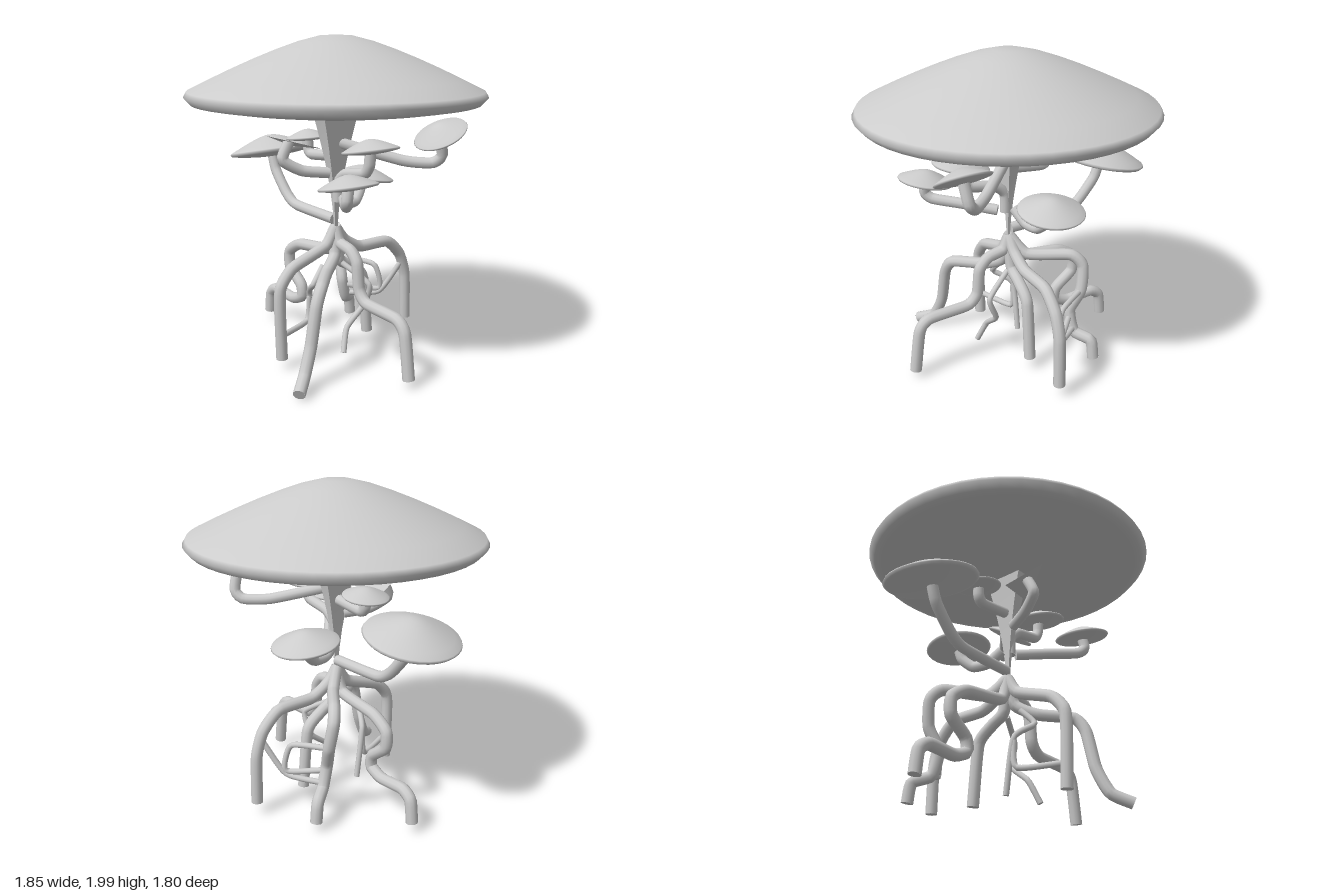
import * as THREE from 'three';

const grey = new THREE.MeshStandardMaterial({ color: 0xcccccc, side: THREE.DoubleSide });
const UP = new THREE.Vector3(0, 1, 0);
const FORWARD = new THREE.Vector3(0, 0, 1);

function add(group, name, geometry) {
  const mesh = new THREE.Mesh(geometry, grey);
  mesh.name = name;
  group.add(mesh);
  return mesh;
}

// Bent tube through a few points, with closed ends
function tube(group, name, points, radius) {
  const path = points.map((p) => new THREE.Vector3(...p));
  const curve = new THREE.CatmullRomCurve3(path, false, 'catmullrom', 0.3);
  const part = new THREE.Group();
  part.name = name;
  add(part, name + 'Tube', new THREE.TubeGeometry(curve, points.length * 6, radius, 10));
  for (const t of [0, 1]) {
    const end = add(part, name + 'End', new THREE.CircleGeometry(radius, 10));
    end.position.copy(curve.getPointAt(t));
    end.quaternion.setFromUnitVectors(FORWARD, curve.getTangentAt(t).multiplyScalar(t ? 1 : -1));
  }
  group.add(part);
}

// Cap of rim radius 1: bulging underside, rounded rim, gently sagging top, small flat peak
function capProfile() {
  const profile = [];
  for (let i = 0; i <= 5; i++) {
    const r = 0.96 * Math.sin((i / 5) * Math.PI / 2);
    profile.push(new THREE.Vector2(r, -0.13 + 0.098 * r * r));
  }
  profile.push(new THREE.Vector2(1, 0.005));
  for (let i = 6; i >= 0; i--) {
    const t = i / 6;
    profile.push(new THREE.Vector2(0.1 + 0.88 * t, 0.394 - 0.354 * t ** 1.25));
  }
  profile.push(new THREE.Vector2(0, 0.394));
  return profile;
}

function cap(group, name, radius, centre, leanX, leanZ, segments) {
  const mesh = add(group, name, new THREE.LatheGeometry(capProfile(), segments));
  mesh.scale.setScalar(radius);
  mesh.position.set(...centre);
  mesh.quaternion.setFromUnitVectors(UP, new THREE.Vector3(leanX, 1, leanZ).normalize());
}

// Small cap on a stem that bends its way up into the cap's centre
function sideMushroom(group, radius, centre, leanX, leanZ, stem) {
  const mushroom = new THREE.Group();
  mushroom.name = 'sideMushroom';
  cap(mushroom, 'sideCap', radius, centre, leanX, leanZ, 32);
  tube(mushroom, 'sideStem', [...stem, centre], 0.034);
  group.add(mushroom);
}

// Every thick root leaves the crown below the trunk
const root = (group, points) => tube(group, 'root', [[0.02, 0.83, 0], ...points], 0.037);
const sidewaysRoot = (group, points) => root(group, points.map(([x, y]) => [x, y, 0]));
const lengthwiseRoot = (group, points) => root(group, points.map(([z, y]) => [0.02, y, z]));
const rootlet = (group, points) => tube(group, 'rootlet', points, 0.018);

export function createModel() {
  const model = new THREE.Group();
  model.name = 'mushroomTree';

  cap(model, 'mainCap', 0.9, [0.025, 1.645, 0], 0, 0, 48);

  // Flattened trunk, tapering downward to a point
  const trunk = new THREE.BoxGeometry(1, 0.75, 1, 1, 6, 1);
  const pos = trunk.attributes.position;
  for (let i = 0; i < pos.count; i++) {
    const t = Math.max(0, pos.getY(i) / 0.75 + 0.5);
    pos.setXYZ(i, pos.getX(i) * (0.012 + 0.1 * t ** 1.4) + 0.025,
      0.83 + t * 0.75, pos.getZ(i) * (0.02 + 0.27 * t ** 1.6));
  }
  trunk.computeVertexNormals();
  add(model, 'trunk', trunk);

  // Side mushrooms: right-hand large one, back one, two upper ones, front one, tilted back one
  sideMushroom(model, 0.28, [-0.655, 1.225, 0], -0.21, 0,
    [[0.01, 0.88, 0], [-0.38, 0.9, 0], [-0.49, 0.96, 0], [-0.61, 1.1, 0]]);
  sideMushroom(model, 0.205, [-0.09, 1.09, -0.315], 0, -0.15,
    [[0, 1.02, -0.03], [-0.03, 0.95, -0.12], [-0.05, 0.95, -0.22], [-0.08, 1.01, -0.29]]);
  sideMushroom(model, 0.14, [-0.255, 1.36, 0], -0.12, 0,
    [[0.02, 1.28, 0], [-0.21, 1.26, 0], [-0.25, 1.29, 0]]);
  sideMushroom(model, 0.172, [0.34, 1.35, 0], -0.18, 0,
    [[0.045, 1, 0], [0.05, 1.12, 0], [0.12, 1.18, 0], [0.29, 1.21, 0], [0.33, 1.26, 0]]);
  sideMushroom(model, 0.172, [0.455, 1.19, 0.265], -0.2, 0,
    [[0.1, 1.02, 0], [0.28, 1.05, 0.14], [0.42, 1.07, 0.25], [0.46, 1.11, 0.28]]);
  sideMushroom(model, 0.165, [0.515, 1.43, -0.395], 0, 0.58,
    [[0.04, 1.36, -0.02], [0.32, 1.26, -0.28], [0.45, 1.25, -0.4], [0.5, 1.3, -0.43]]);

  // Bare stem with a torn scrap of cap
  tube(model, 'bareStem', [[0.02, 1.18, 0.05], [-0.05, 1.2, 0.2], [-0.1, 1.27, 0.31], [-0.1, 1.38, 0.26]], 0.034);
  const scrap = new THREE.BufferGeometry().setFromPoints([
    new THREE.Vector3(-0.2, 1.33, 0.17), new THREE.Vector3(0.06, 1.34, 0.13), new THREE.Vector3(-0.13, 1.42, 0.4)]);
  scrap.computeVertexNormals();
  add(model, 'capScrap', scrap);

  // Thick roots to the left and right
  sidewaysRoot(model, [[0.06, 0.74], [0.17, 0.71], [0.23, 0.64], [0.25, 0.48], [0.32, 0.41],
    [0.58, 0.39], [0.65, 0.32], [0.69, 0.05]]);
  sidewaysRoot(model, [[-0.04, 0.68], [-0.34, 0.64], [-0.46, 0.57], [-0.46, 0.46], [-0.34, 0.36],
    [-0.33, 0.28], [-0.43, 0.24], [-0.62, 0.255], [-0.69, 0.21], [-0.71, 0.07]]);

  // Thick roots to the front and back
  lengthwiseRoot(model, [[0.08, 0.72], [0.33, 0.63], [0.42, 0.53], [0.43, 0.4], [0.42, 0.07]]);
  lengthwiseRoot(model, [[-0.07, 0.74], [-0.2, 0.67], [-0.44, 0.66], [-0.56, 0.55], [-0.61, 0.4], [-0.62, 0.09]]);
  lengthwiseRoot(model, [[-0.03, 0.62], [-0.12, 0.56], [-0.23, 0.46], [-0.27, 0.08]]);

  // Diagonal thick roots
  root(model, [[0.05, 0.66, 0.03], [0.12, 0.59, 0.15], [0.27, 0.57, 0.31], [0.3, 0.48, 0.37],
    [0.31, 0.25, 0.42], [0.34, 0.1, 0.49], [0.42, 0.04, 0.59]]);
  root(model, [[-0.06, 0.72, -0.09], [-0.28, 0.73, -0.25], [-0.34, 0.66, -0.3], [-0.32, 0.5, -0.32],
    [-0.26, 0.36, -0.29], [-0.27, 0.22, -0.33], [-0.34, 0.18, -0.42], [-0.35, 0.06, -0.44]]);

  // Thin rootlets
  rootlet(model, [[0.05, 0.6, -0.03], [0.22, 0.48, -0.11], [0.17, 0.33, -0.1], [0.17, 0.22, 0.03], [0.21, 0.08, 0.09]]);
  rootlet(model, [[0.02, 0.6, 0.1], [0.04, 0.5, 0.19], [-0.08, 0.4, 0.13], [-0.09, 0.07, 0.08]]);
  rootlet(model, [[-0.08, 0.38, 0.13], [-0.08, 0.22, 0.15], [0.02, 0.22, 0.4]]);
  rootlet(model, [[-0.3, 0.5, -0.33], [-0.1, 0.47, -0.44], [-0.08, 0.3, -0.47], [-0.25, 0.32, -0.3]]);
  rootlet(model, [[0.03, 0.5, -0.57], [-0.08, 0.28, -0.47], [-0.25, 0.25, -0.34]]);

  return model;
}
